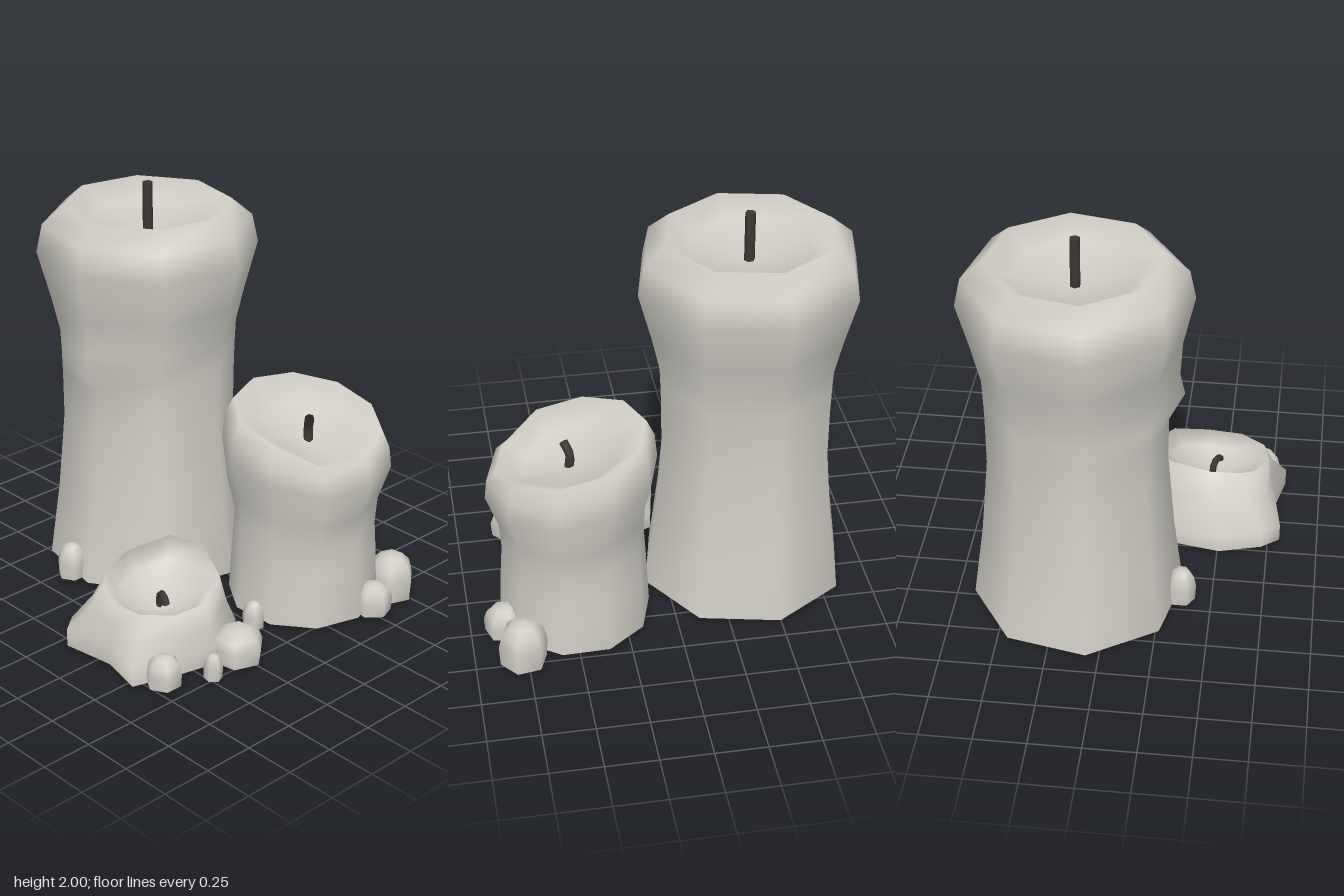
import * as THREE from 'three';

const wax = new THREE.MeshStandardMaterial({ color: 0xcfccc4, side: THREE.DoubleSide });
wax.name = 'wax';
const char = new THREE.MeshStandardMaterial({ color: 0x3b3934, side: THREE.DoubleSide });
char.name = 'charred wick';

// Skin over closed rings of [x, y, z] points, ending in a single tip point; open below.
function loft(name, rings, tip) {
  const n = rings[0].length;
  const pos = [...rings.flat(), tip].flat();
  const index = [];
  rings.forEach((_, j) => {
    for (let k = 0; k < n; k++) {
      const a = j * n + k, b = j * n + (k + 1) % n;
      if (j === rings.length - 1) index.push(a, rings.length * n, b);
      else index.push(a, a + n, b, b, a + n, b + n);
    }
  });
  const geo = new THREE.BufferGeometry();
  geo.setAttribute('position', new THREE.Float32BufferAttribute(pos, 3));
  geo.setIndex(index);
  geo.computeVertexNormals();
  const mesh = new THREE.Mesh(geo, wax);
  mesh.name = name;
  return mesh;
}

// Ring of n points; shape(k) may return extra [radius, height].
function ring(cx, cz, r, y, n, phase, tilt = 0, shape = () => [0, 0]) {
  return Array.from({ length: n }, (_, k) => {
    const a = phase + k / n * Math.PI * 2, [dr, dy] = shape(k);
    const z = (r + dr) * Math.sin(a);
    return [cx + (r + dr) * Math.cos(a), y + dy - tilt * z, cz + z];
  });
}

function wick(name, points, radius) {
  const curve = new THREE.CatmullRomCurve3(points.map(p => new THREE.Vector3(...p)));
  const mesh = new THREE.Mesh(new THREE.TubeGeometry(curve, 5, radius, 6), char);
  mesh.name = name;
  return mesh;
}

function tallCandle() {
  const profile = [ // radius, height, drip bulge on the left-hand side
    [0.515, 0.02, 0], [0.465, 0.4, 0], [0.43, 0.8, 0], [0.432, 1.04, 0], [0.435, 1.15, 0.07],
    [0.44, 1.26, 0.04], [0.48, 1.43, 0.01], [0.545, 1.67, 0], [0.515, 1.81, 0],
    [0.41, 1.9, 0], [0.3, 1.82, 0]];
  const rings = profile.map(([r, y, drip]) =>
    ring(0.155, -0.4, r, y, 8, -0.18, 0, k => [k === 4 ? drip : 0, 0]));
  const g = new THREE.Group();
  g.name = 'tallCandle';
  const stick = new THREE.Mesh(new THREE.CylinderGeometry(0.025, 0.025, 0.27, 6), char);
  stick.position.set(0.155, 1.865, -0.4);
  stick.name = 'tallWick';
  g.add(loft('tallWax', rings, [0.155, 1.75, -0.4]), stick);
  return g;
}

function mediumCandle() {
  const profile = [ // radius, height, tilt
    [0.37, 0.02, 0], [0.355, 0.3, 0], [0.345, 0.45, 0.02], [0.355, 0.6, 0.08],
    [0.412, 0.8, 0.16], [0.4, 0.91, 0.19], [0.36, 0.995, 0.21], [0.24, 0.92, 0.15]];
  const rings = profile.map(([r, y, tilt], j) =>
    ring(0.385, 0.48, r, y, 10, -0.34, tilt, k => [
      j === 3 && k % 3 === 1 ? 0.03 : 0,              // uneven runs
      j > 5 && (k === 3 || k === 4) ? -0.05 : 0]));   // melted dip in the front lip
  const g = new THREE.Group();
  g.name = 'mediumCandle';
  g.add(loft('mediumWax', rings, [0.38, 0.86, 0.49]),
    wick('mediumWick', [[0.385, 0.85, 0.49], [0.39, 0.93, 0.485], [0.37, 0.99, 0.51]], 0.023));
  return g;
}

function shortCandle() {
  const foot = [[-0.08, 0.29], [-0.16, 0.56], [-0.39, 0.68], [-0.6, 0.63], [-0.82, 0.56],
    [-0.77, 0.34], [-0.81, 0.08], [-0.72, 0.01], [-0.51, -0.05], [-0.19, 0.01]];
  const rim = [[-0.16, 0.425, 0.33], [-0.23, 0.36, 0.52], [-0.4, 0.31, 0.6], [-0.58, 0.31, 0.58],
    [-0.7, 0.32, 0.48], [-0.73, 0.33, 0.34], [-0.68, 0.36, 0.2], [-0.6, 0.38, 0.14],
    [-0.45, 0.405, 0.1], [-0.21, 0.425, 0.15]];
  const c = [-0.45, 0.2, 0.34];
  const mix = (a, b, t) => a.map((v, i) => v + (b[i] - v) * t);
  const base = foot.map(([x, z]) => [x, 0.02, z]);
  const low = foot.map(([x, z]) => [x, 0.11, z]);
  const rings = [base, low,
    low.map((p, k) => { const q = mix(p, rim[k], 0.6); q[1] -= 0.03; return q; }),
    rim, rim.map(p => { const q = mix(p, c, 0.25); q[1] -= 0.03; return q; }),
    rim.map(p => { const q = mix(p, c, 0.55); q[1] -= 0.02; return q; })];
  const g = new THREE.Group();
  g.name = 'shortCandle';
  g.add(loft('shortWax', rings, c),
    wick('shortWick', [[-0.445, 0.19, 0.33], [-0.448, 0.27, 0.34], [-0.465, 0.29, 0.38], [-0.48, 0.26, 0.42]], 0.017));
  return g;
}

// Rounded drops of wax pooled at the feet: x, z, radius, height.
function drops() {
  const g = new THREE.Group();
  g.name = 'waxDrops';
  [[-0.695, 0.635, 0.088, 0.17], [-0.495, 0.755, 0.046, 0.15], [-0.285, 0.7, 0.13, 0.185],
    [-0.035, 0.555, 0.054, 0.16], [0.505, 0.84, 0.097, 0.17], [0.715, 0.77, 0.12, 0.23],
    [-0.35, -0.43, 0.075, 0.2]].forEach(([x, z, r, h], i) => {
    const y0 = i === 5 ? 0 : 0.02;
    const rings = [[0.95, 0], [1, 0.45], [0.85, 0.75], [0.5, 0.94]].map(([s, t]) =>
      ring(x, z, r * s, y0 + (h - y0) * t, 6, i * 0.7));
    g.add(loft('waxDrop', rings, [x, h, z]));
  });
  return g;
}

export function createModel() {
  const model = new THREE.Group();
  model.name = 'meltedCandles';
  model.add(tallCandle(), mediumCandle(), shortCandle(), drops());
  return model;
}
